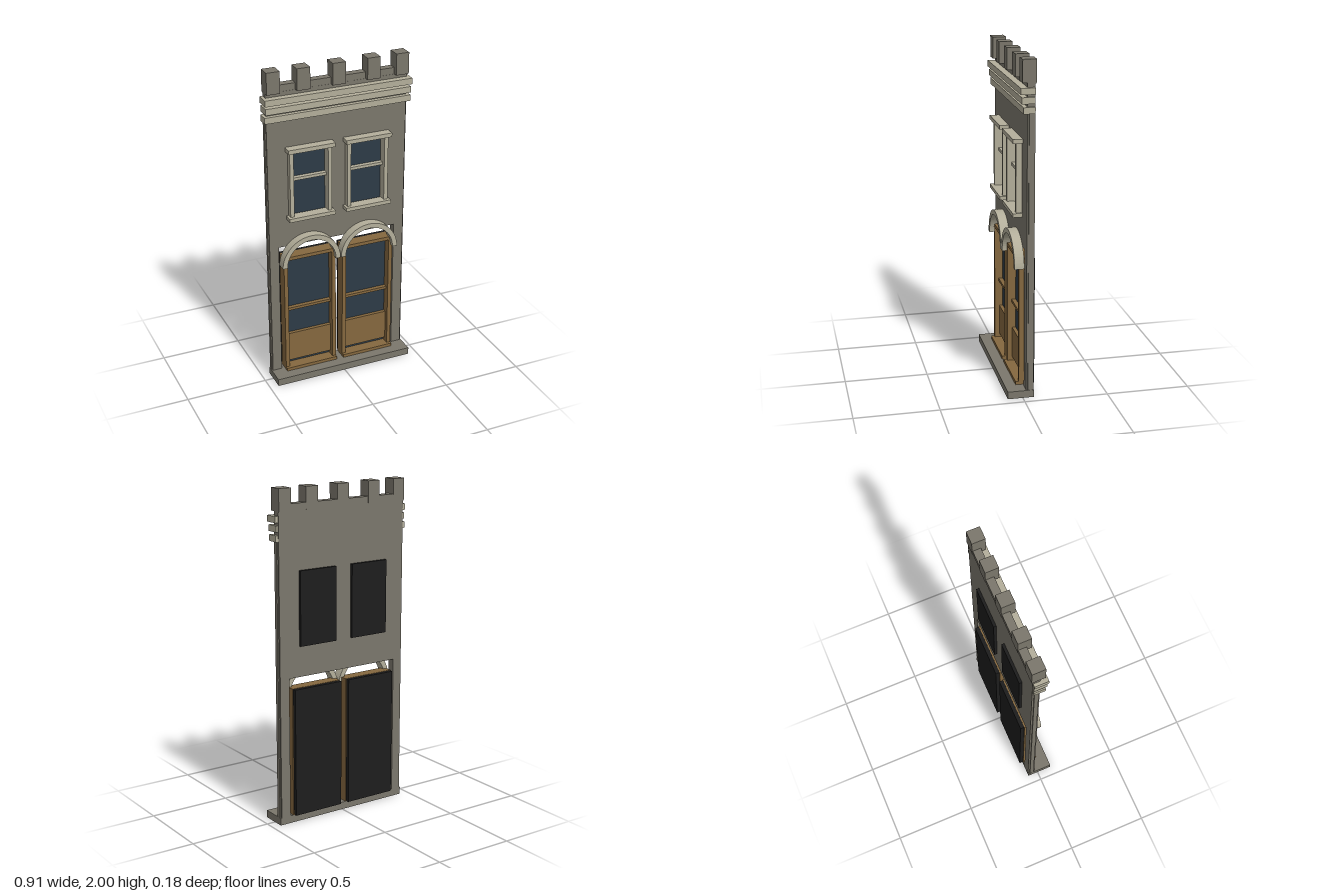
import * as THREE from 'three';

const mat = (name, color) => {
  const m = new THREE.MeshStandardMaterial({ color });
  m.name = name;
  return m;
};

export function createModel() {
  const root = new THREE.Group();
  root.name = 'facade';
  const stone = mat('grey stone', 0x7b776c);
  const trim = mat('pale trim', 0xb4af9b);
  const wood = mat('brown wood', 0x85683f);
  const glass = mat('dark blue glass', 0x2d3b47);
  const black = mat('black backing', 0x1d1d1d);

  // Box given by its limits on each axis
  const box = (parent, name, m, x0, x1, y0, y1, z0, z1) => {
    const mesh = new THREE.Mesh(new THREE.BoxGeometry(x1 - x0, y1 - y0, z1 - z0), m);
    mesh.position.set((x0 + x1) / 2, (y0 + y1) / 2, (z0 + z1) / 2);
    mesh.name = name;
    parent.add(mesh);
  };
  const group = (name, x) => {
    const g = new THREE.Group();
    g.name = name;
    g.position.x = x;
    root.add(g);
    return g;
  };
  const rect = (P, x0, x1, y0, y1) => {
    const p = new P();
    p.moveTo(x0, y0);
    p.lineTo(x1, y0);
    p.lineTo(x1, y1);
    p.lineTo(x0, y1);
    p.closePath();
    return p;
  };

  // Wall with a wide doorway and two window holes
  const outline = new THREE.Shape();
  [[-0.438, 0], [-0.38, 0], [-0.38, 0.895], [0.376, 0.895], [0.376, 0], [0.438, 0], [0.438, 1.87], [-0.438, 1.87]]
    .forEach(([x, y], i) => (i ? outline.lineTo(x, y) : outline.moveTo(x, y)));
  outline.closePath();
  for (const cx of [-0.182, 0.18]) outline.holes.push(rect(THREE.Path, cx - 0.11, cx + 0.11, 1.09, 1.51));
  const wall = new THREE.Mesh(new THREE.ExtrudeGeometry(outline, { depth: 0.045, bevelEnabled: false }), stone);
  wall.position.z = -0.066;
  wall.name = 'wall';
  root.add(wall);
  for (const s of [-1, 1]) {
    const x = s * 0.441;
    box(root, 'sideStrip', stone, x - 0.004, x + 0.004, 0.04, 1.7, -0.055, -0.03);
  }

  // Base step, parapet and merlons
  box(root, 'baseStep', stone, -0.446, 0.446, 0, 0.045, -0.066, 0.09);
  box(root, 'parapet', stone, -0.438, 0.438, 1.865, 1.91, -0.07, -0.022);
  for (const x of [-0.4, -0.218, 0, 0.216, 0.398]) {
    box(root, 'merlon', stone, x - 0.04, x + 0.04, 1.87, 2, -0.073, 0.007);
  }

  // Three stepped cornice bands
  [[1.7, 0.455, 0.005], [1.755, 0.452, 0.014], [1.808, 0.457, 0.021]].forEach(([y, w, z]) =>
    box(root, 'corniceBand', trim, -w, w, y, y + 0.037, -0.063, z));

  // Upper windows
  for (const cx of [-0.182, 0.18]) {
    const g = group('window', cx);
    box(g, 'windowHead', trim, -0.146, 0.146, 1.505, 1.53, -0.03, 0.035);
    box(g, 'windowSill', trim, -0.146, 0.146, 1.073, 1.096, -0.03, 0.035);
    for (const s of [-1, 1]) {
      box(g, 'windowJamb', trim, s * 0.12 - 0.012, s * 0.12 + 0.012, 1.09, 1.51, -0.045, 0.014);
    }
    box(g, 'windowBar', trim, -0.11, 0.11, 1.315, 1.333, -0.045, -0.012);
    box(g, 'windowGlass', glass, -0.11, 0.11, 1.09, 1.51, -0.048, -0.04);
    box(g, 'windowBacking', black, -0.125, 0.125, 1.08, 1.525, -0.083, -0.062);
  }

  // Doors
  for (const cx of [-0.192, 0.188]) {
    const g = group('door', cx);
    for (const s of [-1, 1]) {
      box(g, 'doorStile', wood, s * 0.156 - 0.012, s * 0.156 + 0.012, 0.045, 0.83, -0.066, 0.005);
    }
    box(g, 'doorHead', wood, -0.168, 0.168, 0.808, 0.83, -0.066, 0.006);
    box(g, 'doorSill', wood, -0.168, 0.168, 0.045, 0.065, -0.066, 0.024);
    box(g, 'doorBar', wood, -0.145, 0.145, 0.449, 0.466, -0.05, -0.02);
    box(g, 'doorPanel', wood, -0.145, 0.145, 0.09, 0.282, -0.05, -0.024);
    box(g, 'doorGlass', glass, -0.145, 0.145, 0.06, 0.81, -0.054, -0.046);
    box(g, 'doorBacking', black, -0.163, 0.163, 0.048, 0.828, -0.09, -0.062);
  }

  // Round arches above the doors
  const ring = new THREE.Shape();
  ring.absarc(0, 0, 0.187, 0, Math.PI, false);
  ring.absarc(0, 0, 0.157, Math.PI, 0, true);
  ring.closePath();
  const archGeo = new THREE.ExtrudeGeometry(ring, { depth: 0.057, bevelEnabled: false, curveSegments: 16 });
  for (const cx of [-0.191, 0.187]) {
    const arch = new THREE.Mesh(archGeo, trim);
    arch.position.set(cx, 0.775, -0.022);
    arch.name = 'doorArch';
    root.add(arch);
  }
  return root;
}
